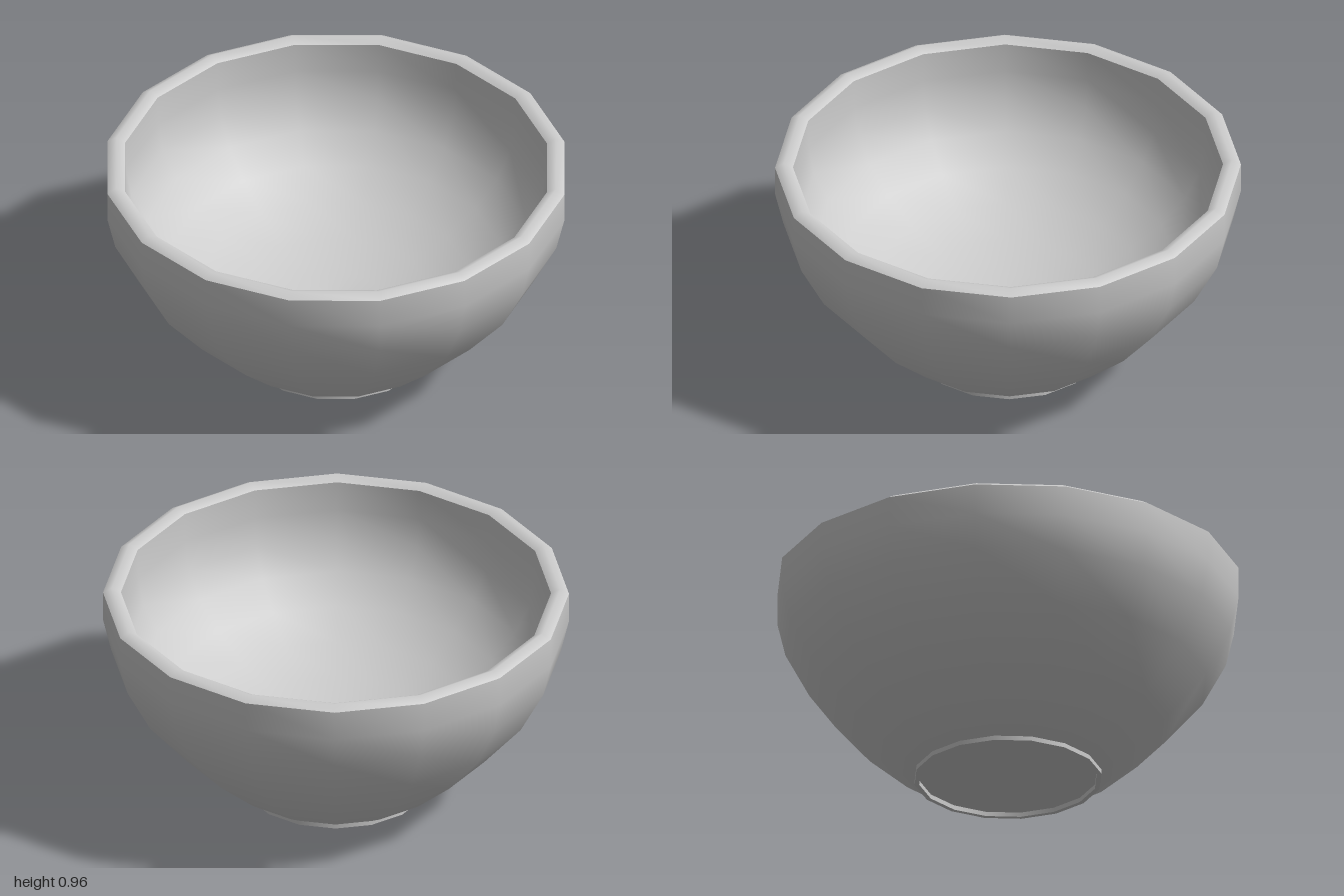
import * as THREE from 'three';

const SIDES = 16;

export function createModel() {
  const bowl = new THREE.Group();
  bowl.name = 'bowl';
  const material = new THREE.MeshStandardMaterial({ color: 0xcccccc });

  // Each profile [radius, height] is turned on its own, so normals are smooth
  // within a part and creased between parts.
  const turn = (name, profile) => {
    const points = profile.map(([r, y]) => new THREE.Vector2(r, y));
    const geometry = new THREE.LatheGeometry(points, SIDES);
    geometry.normalizeNormals();
    const mesh = new THREE.Mesh(geometry, material);
    mesh.name = name;
    bowl.add(mesh);
  };

  // Recessed underside and the thin foot ring around it
  turn('underside', [[0, 0.02], [0.385, 0.02]]);
  turn('footInnerWall', [[0.385, 0.02], [0.385, 0]]);
  turn('footBottom', [[0.385, 0], [0.405, 0]]);
  turn('footOuterWall', [[0.405, 0], [0.405, 0.02]]);

  // Outer wall, flaring from the foot to an upright lip
  turn('outerWall', [
    [0.405, 0.02], [0.5, 0.08], [0.69, 0.25], [0.86, 0.45],
    [0.965, 0.65], [1, 0.8], [1, 0.935],
  ]);

  // Softly ridged rim
  turn('rim', [[1, 0.935], [0.962, 0.958], [0.923, 0.937]]);

  // Inner wall: upright below the rim, then a quarter ellipse down to the floor
  const inner = [[0.923, 0.937]];
  for (let i = 0; i <= 7; i++) {
    const a = (i / 7) * Math.PI / 2;
    inner.push([0.92 * Math.cos(a), 0.8 - 0.58 * Math.sin(a)]);
  }
  turn('innerWall', inner);

  return bowl;
}
